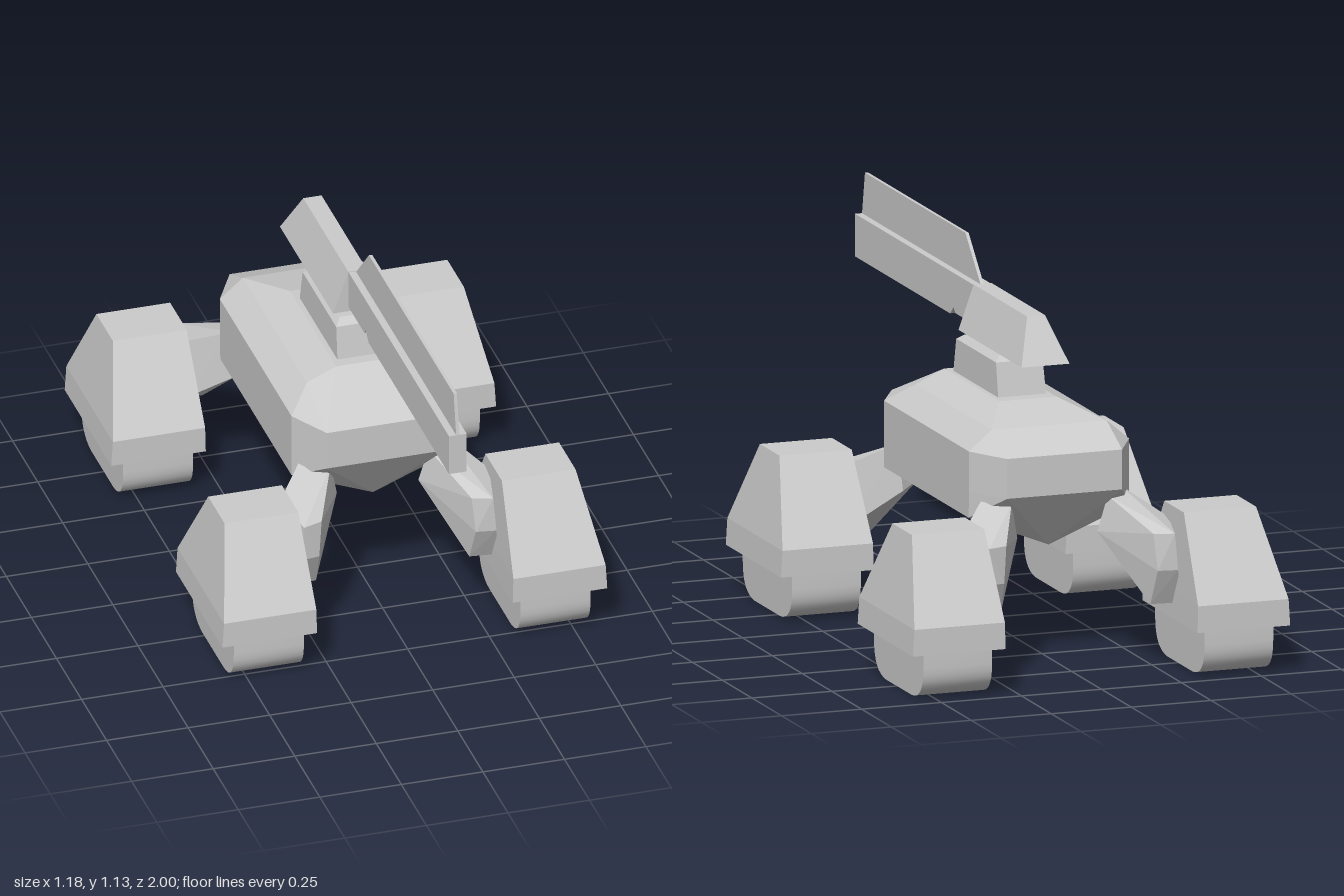
import * as THREE from 'three';
import { ConvexGeometry } from 'three/addons/geometries/ConvexGeometry.js';
import { toCreasedNormals } from 'three/addons/utils/BufferGeometryUtils.js';

const material = new THREE.MeshStandardMaterial({ color: 0xcccccc });
const MID_Z = -0.2145; // plane that mirrors the front legs to the rear

function add(parent, name, geometry) {
  const mesh = new THREE.Mesh(geometry, material);
  mesh.name = name;
  parent.add(mesh);
  return mesh;
}

// Faceted solid around a few corner points
const solid = (points) => new ConvexGeometry(points.map((p) => new THREE.Vector3(...p)));

// Repeats corner points on both sides of x = 0
const bothSides = (points) => points.flatMap(([x, y, z]) => [[x, y, z], [-x, y, z]]);

// Horizontal rectangle of corners
const rect = (x0, x1, y, z0, z1) => [[x0, y, z0], [x1, y, z0], [x0, y, z1], [x1, y, z1]];

// Side profile drawn in (z, y), extruded across x from x0 to x1
function sideExtrude(shape, x0, x1, curveSegments = 8) {
  const g = new THREE.ExtrudeGeometry(shape, { depth: x1 - x0, bevelEnabled: false, curveSegments });
  g.rotateY(-Math.PI / 2);
  g.translate(x1, 0, 0);
  return g;
}
const polygon = (points) => new THREE.Shape(points.map((p) => new THREE.Vector2(...p)));

// Foot profile with rounded lower corners
function footShape(z0, z1, top, r) {
  const s = new THREE.Shape();
  s.moveTo(z0, top);
  s.lineTo(z0, r);
  s.quadraticCurveTo(z0, 0.005, z0 + r, 0);
  s.lineTo(z1 - r, 0);
  s.quadraticCurveTo(z1, 0.005, z1, r);
  s.lineTo(z1, top);
  s.closePath();
  return s;
}

// One leg: strut, armoured pod and foot; sx and rear choose the corner
function makeLeg(name, sx, rear) {
  const leg = new THREE.Group();
  leg.name = name;
  const flipZ = (z) => (rear ? 2 * MID_Z - z : z);
  const place = (points) => points.map(([x, y, z]) => [sx * x, y, flipZ(z)]);

  add(leg, 'strut', solid(place([
    // hull end
    [0.15, 0.495, 0.22], [0.21, 0.51, 0.15], [0.125, 0.385, 0.20], [0.20, 0.37, 0.13],
    // pod end, bevelled
    [0.23, 0.41, 0.39], [0.29, 0.41, 0.41], [0.32, 0.43, 0.27],
    [0.24, 0.30, 0.40], [0.30, 0.30, 0.41],
    [0.235, 0.19, 0.35], [0.32, 0.19, 0.36], [0.32, 0.25, 0.25],
  ])));

  add(leg, 'pod', solid(place([
    ...rect(0.30, 0.59, 0.145, 0.108, 0.572),
    ...rect(0.302, 0.585, 0.225, 0.108, 0.572),
    ...rect(0.312, 0.538, 0.475, 0.26, 0.425),
  ])));

  const za = flipZ(0.13), zb = flipZ(0.545);
  const shape = footShape(Math.min(za, zb), Math.max(za, zb), 0.16, 0.10);
  const xa = sx * 0.332, xb = sx * 0.547;
  add(leg, 'foot', toCreasedNormals(
    sideExtrude(shape, Math.min(xa, xb), Math.max(xa, xb)), 0.7));
  return leg;
}

export function createModel() {
  const model = new THREE.Group();
  model.name = 'walker';

  // Hull: eight-sided band, sloped deck and V-shaped belly
  add(model, 'hull', solid(bothSides([
    ...[0.52, 0.64].flatMap((y) => [
      [0.18, y, 0.28], [0.25, y, 0.155], [0.25, y, -0.56], [0.18, y, -0.69],
    ]),
    [0.25, 0.44, 0.155], [0.25, 0.44, -0.555],
    [0.18, 0.70, 0.08], [0.18, 0.70, -0.56],
    [0.09, 0.74, 0.08], [0.09, 0.74, -0.38],
  ]).concat([[0, 0.34, 0.155], [0, 0.34, -0.555]])));

  // Turret base on the deck
  add(model, 'turretBase', solid([
    ...rect(-0.075, 0.075, 0.73, -0.335, 0.045),
    ...rect(-0.073, 0.073, 0.84, -0.31, 0.025),
    ...rect(-0.055, 0.055, 0.857, -0.29, 0.0),
  ]));

  // Gun housing with a raked rear
  add(model, 'gunHousing', solid([
    ...rect(-0.04, 0.04, 0.855, -0.25, -0.07),
    ...rect(-0.075, 0.075, 0.872, -0.53, 0),
    ...rect(-0.028, 0.028, 1.005, -0.45, 0),
  ]));

  // Barrel and the thin fin along its top
  add(model, 'barrel', sideExtrude(polygon([
    [-0.05, 0.885], [0.155, 0.885], [0.17, 0.90], [0.20, 0.875],
    [1.0, 0.875], [1.0, 1.003], [-0.05, 1.003],
  ]), -0.027, 0.027));
  add(model, 'barrelFin', sideExtrude(polygon([
    [0, 1.0], [1.0, 1.0], [0.975, 1.13], [0.13, 1.13],
  ]), -0.005, 0.005));

  // Four legs
  for (const [side, sx] of [['Left', 1], ['Right', -1]]) {
    model.add(makeLeg('front' + side + 'Leg', sx, false));
    model.add(makeLeg('rear' + side + 'Leg', sx, true));
  }
  return model;
}
